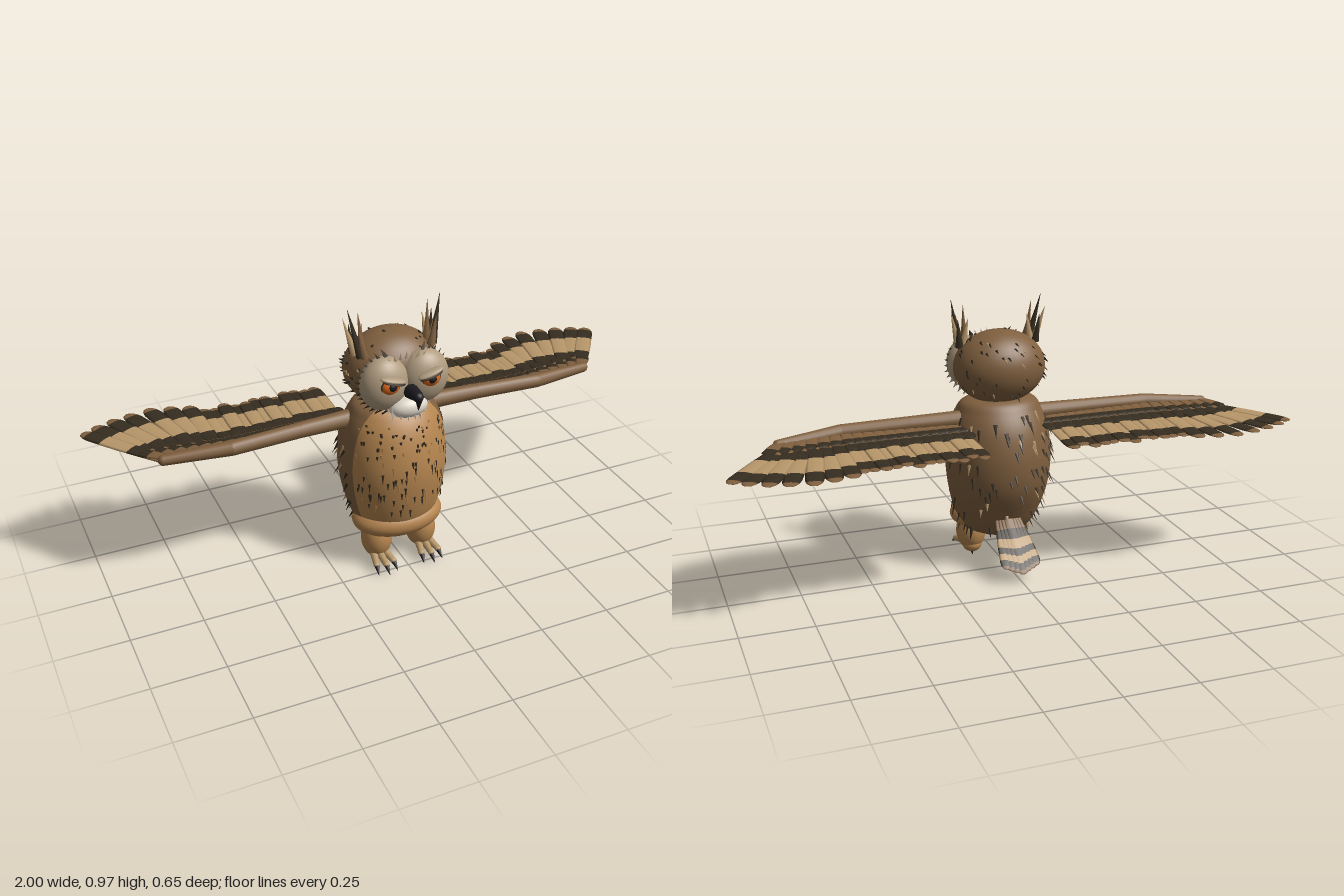
import * as THREE from 'three';
import { mergeGeometries } from 'three/addons/utils/BufferGeometryUtils.js';
import { ParametricGeometry } from 'three/addons/geometries/ParametricGeometry.js';

const V = (x, y, z) => new THREE.Vector3(x, y, z);
const COLORS = {
  tan: 0xb5854f, brown: 0x80603f, dark: 0x362d20, beige: 0xb8976a,
  face: 0xb09c80, white: 0xddd6c8, orange: 0xd8661a, black: 0x1c1a1e,
};

export function createModel() {
  const model = new THREE.Group();
  model.name = 'owl';
  const mats = {};
  for (const [name, color] of Object.entries(COLORS)) {
    mats[name] = new THREE.MeshStandardMaterial({ color });
    mats[name].name = name;
  }
  let seed = 7;
  const rnd = (a = 0, b = 1) => {
    seed = (seed * 16807) % 2147483647;
    return a + (b - a) * seed / 2147483647;
  };

  const add = (name, geo, mat, parent = model) => {
    const m = new THREE.Mesh(geo, mats[mat]);
    m.name = name;
    parent.add(m);
    return m;
  };
  // Collects pieces by colour, then makes one mesh for each colour
  const batch = (name) => {
    const bins = {};
    return {
      put: (mat, geo) => (bins[mat] ??= []).push(geo),
      done: () => {
        const g = new THREE.Group();
        g.name = name;
        for (const mat in bins) add(name + ' ' + mat, mergeGeometries(bins[mat]), mat, g);
        model.add(g);
      },
    };
  };
  const ball = (c, rx, ry, rz, n = 24) =>
    new THREE.SphereGeometry(1, n, Math.round(n * 0.7)).scale(rx, ry, rz).translate(c.x, c.y, c.z);
  // Places a geometry whose length runs along +y at a point, with its flat side facing "up"
  const aim = (geo, at, dir, up) => {
    const y = dir.clone().normalize();
    const x = y.clone().cross(up).normalize();
    const z = x.clone().cross(y);
    return geo.applyMatrix4(new THREE.Matrix4().makeBasis(x, y, z).setPosition(at));
  };
  const rod = (a, b, r1, r2, sides = 10) => {
    const d = b.clone().sub(a);
    const geo = new THREE.CylinderGeometry(r2, r1, d.length(), sides).translate(0, d.length() / 2, 0);
    return aim(geo, a, d, Math.abs(d.x) > Math.abs(d.z) ? V(0, 0, 1) : V(1, 0, 0));
  };
  // Small pointed feather lying on a surface
  const tuft = (at, dir, normal, len, w) =>
    aim(new THREE.ConeGeometry(w, len, 5).scale(1, 1, 0.45).translate(0, len * 0.35, 0), at, dir, normal);
  // Banded flight feather, flattened, with a round tip
  const feather = (b, base, tip, w, up, bands, flat = 0.16) => {
    const d = tip.clone().sub(base), len = d.length();
    const width = (t) => w * (0.7 + 0.3 * Math.min(1, t * 2)) *
      Math.sqrt(Math.max(0, 1 - Math.pow(Math.max(0, (t - 0.82) / 0.18), 2.5)));
    let t0 = 0;
    for (const [t1, mat] of bands) {
      const pts = [];
      for (let i = 0; i <= 5; i++) {
        const t = t0 + (t1 - t0) * i / 5;
        pts.push(new THREE.Vector2(width(t), t * len));
      }
      b.put(mat, aim(new THREE.LatheGeometry(pts, 8).scale(1, 1, flat), base, d, up));
      t0 = t1;
    }
  };

  // Body: rings of [y, centre z, half width, half depth]
  const rings = [
    [0.085, 0.1, 0.01, 0.01], [0.1, 0.115, 0.07, 0.06], [0.13, 0.12, 0.125, 0.1],
    [0.2, 0.115, 0.16, 0.14], [0.3, 0.103, 0.183, 0.176], [0.4, 0.1, 0.19, 0.184],
    [0.5, 0.098, 0.18, 0.164], [0.57, 0.098, 0.155, 0.13], [0.61, 0.095, 0.12, 0.09], [0.625, 0.095, 0.01, 0.01],
  ];
  const curveA = new THREE.CatmullRomCurve3(rings.map(([y, z, rx]) => V(rx, y, z)), false, 'catmullrom');
  const curveB = new THREE.CatmullRomCurve3(rings.map((r) => V(r[3], 0, 0)), false, 'catmullrom');
  const bodyPoint = (th, t) => {
    const a = curveA.getPoint(t), rz = curveB.getPoint(t).x;
    return V(a.x * Math.sin(th), a.y, a.z + rz * Math.cos(th));
  };
  const splitAngle = (t) => {
    const k = (0.17 - curveA.getPoint(t).z) / curveB.getPoint(t).x;
    return Math.acos(THREE.MathUtils.clamp(k, -1, 1));
  };
  const bodyPart = (front) => new ParametricGeometry((u, v, p) => {
    const s = splitAngle(v);
    p.copy(bodyPoint(front ? -s + 2 * s * u : s + (2 * Math.PI - 2 * s) * u, v));
  }, 32, 40);
  add('breast', bodyPart(true), 'tan');
  add('back', bodyPart(false), 'brown');
  add('belly', ball(V(0, 0.165, 0.15), 0.166, 0.068, 0.112, 32), 'tan');

  // Streaks over the breast and the back
  const streaks = batch('body feathers');
  for (let i = 0; i < 230; i++) {
    const front = i < 125;
    const th = front ? rnd(-1.1, 1.1) : rnd(1.35, 2 * Math.PI - 1.35);
    const t = front ? rnd(0.38, 0.76) : rnd(0.2, 0.78);
    const p = bodyPoint(th, t);
    const n = V(Math.sin(th), 0, Math.cos(th));
    const dir = V(0, -1, 0).addScaledVector(n, front ? 0.12 : 0.4);
    if (!front) dir.z -= 0.3;
    const mat = i % 5 === 0 ? (front ? 'tan' : 'beige') : 'dark';
    streaks.put(mat, tuft(p, dir, n, front ? rnd(0.02, 0.038) : rnd(0.03, 0.055), front ? 0.005 : 0.008));
  }
  streaks.done();

  // Head with spots
  const hc = V(0, 0.725, 0.085), hr = V(0.165, 0.131, 0.131);
  add('head', ball(hc, hr.x, hr.y, hr.z, 36), 'brown');
  const spots = batch('head feathers');
  for (let i = 0; i < 75; i++) {
    const n = V(rnd(-1, 1), rnd(-0.7, 1), rnd(-1, 0.6)).normalize();
    const dir = V(0, -0.35, -1).addScaledVector(n, 0.25);
    spots.put(i % 5 ? 'dark' : 'beige', tuft(n.clone().multiply(hr).add(hc), dir, n, rnd(0.02, 0.04), 0.006));
  }
  // Dark fringe around the face, pale fringe inside it
  for (let i = 0; i < 40; i++) {
    const a = i / 40 * Math.PI * 2, n = V(Math.cos(a), Math.sin(a), 0);
    const side = Math.abs(n.x) > 0.45;
    if (side) spots.put('dark', tuft(V(n.x * 0.148, 0.715 + n.y * 0.115, 0.195),
      V(n.x, n.y, -0.5), V(0, 0, 1), 0.034, 0.009));
    spots.put(n.y < -0.5 ? 'white' : 'face', tuft(V(n.x * 0.125, 0.715 + n.y * 0.095, 0.215),
      V(n.x, n.y, 0.1), V(0, 0, 1), 0.028, 0.008));
  }
  spots.done();

  // Chin, bill
  add('chin', ball(V(0, 0.637, 0.232), 0.068, 0.038, 0.042), 'white');
  const chin = batch('chin feathers');
  for (let i = 0; i < 18; i++) {
    const x = rnd(-0.06, 0.06);
    chin.put('white', tuft(V(x, rnd(0.615, 0.65), 0.262 - x * x * 5), V(x * 6, -1, 0.25), V(0, 0, 1), 0.03, 0.009));
  }
  chin.done();
  const bill = batch('bill');
  bill.put('black', rod(V(0, 0.7, 0.25), V(0, 0.708, 0.305), 0.026, 0.018));
  bill.put('black', ball(V(0, 0.706, 0.305), 0.018, 0.018, 0.019, 12));
  bill.put('black', rod(V(0, 0.704, 0.311), V(0, 0.659, 0.308), 0.014, 0.001));
  bill.done();

  const UP = V(0, 1, 0);
  const flightBands = [[0.2, 'brown'], [0.4, 'dark'], [0.72, 'beige'], [0.92, 'dark'], [1, 'brown']];
  const covertBands = [[0.62, 'brown'], [1, 'dark']];
  const primaryTips = [[0.57, -0.25], [0.61, -0.29], [0.675, -0.31], [0.745, -0.325],
    [0.82, -0.312], [0.885, -0.295], [0.945, -0.27], [0.99, -0.24]];

  for (const s of [1, -1]) {
    const side = s > 0 ? 'left ' : 'right ';

    // Face disc, eye and brow
    const eye = batch(side + 'eye');
    eye.put('face', ball(V(s * 0.073, 0.72, 0.196), 0.085, 0.095, 0.062));
    eye.put('dark', ball(V(s * 0.073, 0.732, 0.238), 0.042, 0.034, 0.025, 18));
    eye.put('orange', ball(V(s * 0.073, 0.732, 0.248), 0.033, 0.027, 0.022, 18));
    eye.put('black', ball(V(s * 0.071, 0.735, 0.259), 0.018, 0.017, 0.014, 16));
    const brow = ball(V(0, 0, 0), 0.048, 0.01, 0.02, 14).rotateZ(s * 0.28).translate(s * 0.067, 0.758, 0.26);
    eye.put('face', brow);
    eye.put('dark', ball(V(0, 0, 0), 0.042, 0.005, 0.018, 12).rotateZ(s * 0.28).translate(s * 0.067, 0.75, 0.264));
    eye.done();

    // Ear tufts: a fan of long spikes
    const ear = batch(side + 'ear tuft');
    [[0.13, 0.14, 0.165, 0.115, 0.965], [0.115, 0.125, 0.125, 0.105, 0.945], [0.14, 0.115, 0.172, 0.09, 0.925],
      [0.12, 0.15, 0.14, 0.145, 0.905], [0.14, 0.1, 0.15, 0.085, 0.9], [0.125, 0.11, 0.108, 0.1, 0.9]]
      .forEach(([x, z, tx, tz, ty], i) => {
        ear.put(i % 3 === 2 ? 'beige' : i % 2 ? 'brown' : 'dark',
          rod(V(s * x, 0.8, z), V(s * tx, ty, tz), 0.015, 0.0005, 6));
      });
    ear.done();

    // Wing arm
    const arm = batch(side + 'wing arm');
    const joints = [[V(s * 0.1, 0.546, 0.08), 0.032], [V(s * 0.33, 0.545, 0.088), 0.027],
      [V(s * 0.57, 0.54, 0.098), 0.025], [V(s * 0.79, 0.528, 0.06), 0.018]];
    joints.forEach(([p, r], i) => {
      arm.put('brown', ball(p, r, r, r, 14));
      if (i) arm.put('brown', rod(joints[i - 1][0], p, joints[i - 1][1], r, 14));
    });
    arm.done();

    // Inner and outer flight feathers
    const flight = batch(side + 'flight feathers');
    for (let i = 0; i < 11; i++) {
      const x = 0.16 + i * 0.037;
      feather(flight, V(s * (x + 0.012), 0.518 + (i % 2) * 0.004, 0.07),
        V(s * x, 0.503 + (i % 2) * 0.004, -0.245 + 0.012 * Math.sin(i * 1.9)), 0.027, UP, flightBands);
    }
    primaryTips.forEach(([x, z], i) => {
      feather(flight, V(s * (0.57 + i * 0.03), 0.518 + (i % 2) * 0.004, 0.075 - i * 0.003),
        V(s * x, 0.505 + i * 0.0015, z), 0.031, UP, flightBands);
    });
    flight.done();

    // Two rows of short feathers over the flight feathers
    const coverts = batch(side + 'covert feathers');
    for (let row = 0; row < 2; row++) {
      for (let i = 0; i < 18; i++) {
        const x = 0.15 + i * 0.037, k = Math.max(0, x - 0.55);
        const len = row ? 0.09 : 0.145;
        feather(coverts, V(s * x, 0.53 + row * 0.008, 0.09 - k * 0.12),
          V(s * (x + k * 0.28), 0.516 + row * 0.008, 0.09 - len - k * 0.1), 0.024, UP, covertBands);
      }
    }
    coverts.done();

    // Leg, toes and claws
    const leg = batch(side + 'leg');
    leg.put('tan', ball(V(s * 0.085, 0.09, 0.163), 0.054, 0.076, 0.058));
    leg.put('tan', ball(V(s * 0.085, 0.04, 0.15), 0.036, 0.03, 0.036, 16));
    for (const k of [-1, 0, 1]) {
      const x = s * 0.087 + k * 0.018;
      const knuckle = V(x + k * 0.014, 0.03, 0.253 - Math.abs(k) * 0.012);
      leg.put('beige', rod(V(x, 0.045, 0.18), knuckle, 0.015, 0.011));
      leg.put('beige', ball(knuckle, 0.012, 0.011, 0.012, 10));
      leg.put('black', rod(knuckle, V(knuckle.x + k * 0.004, 0.006, knuckle.z + 0.032), 0.011, 0.001, 8));
    }
    leg.put('beige', rod(V(s * 0.087, 0.04, 0.16), V(s * 0.087, 0.024, 0.15), 0.014, 0.011));
    leg.put('black', rod(V(s * 0.087, 0.026, 0.153), V(s * 0.087, 0, 0.138), 0.011, 0.001, 8));
    leg.done();
  }

  // Tail fan
  const tail = batch('tail');
  const tailBands = [[0.25, 'brown'], [0.42, 'dark'], [0.58, 'beige'], [0.7, 'dark'], [0.82, 'beige'], [0.93, 'dark'], [1, 'brown']];
  for (let i = -3; i <= 3; i++) {
    const drop = Math.abs(i) * 0.004;
    feather(tail, V(i * 0.01, 0.2 - drop, 0), V(i * 0.018, 0.036 + drop * 1.5, -0.174 + drop * 1.5),
      0.023, V(0, 0.7, -0.7), tailBands);
  }
  tail.done();
  return model;
}
